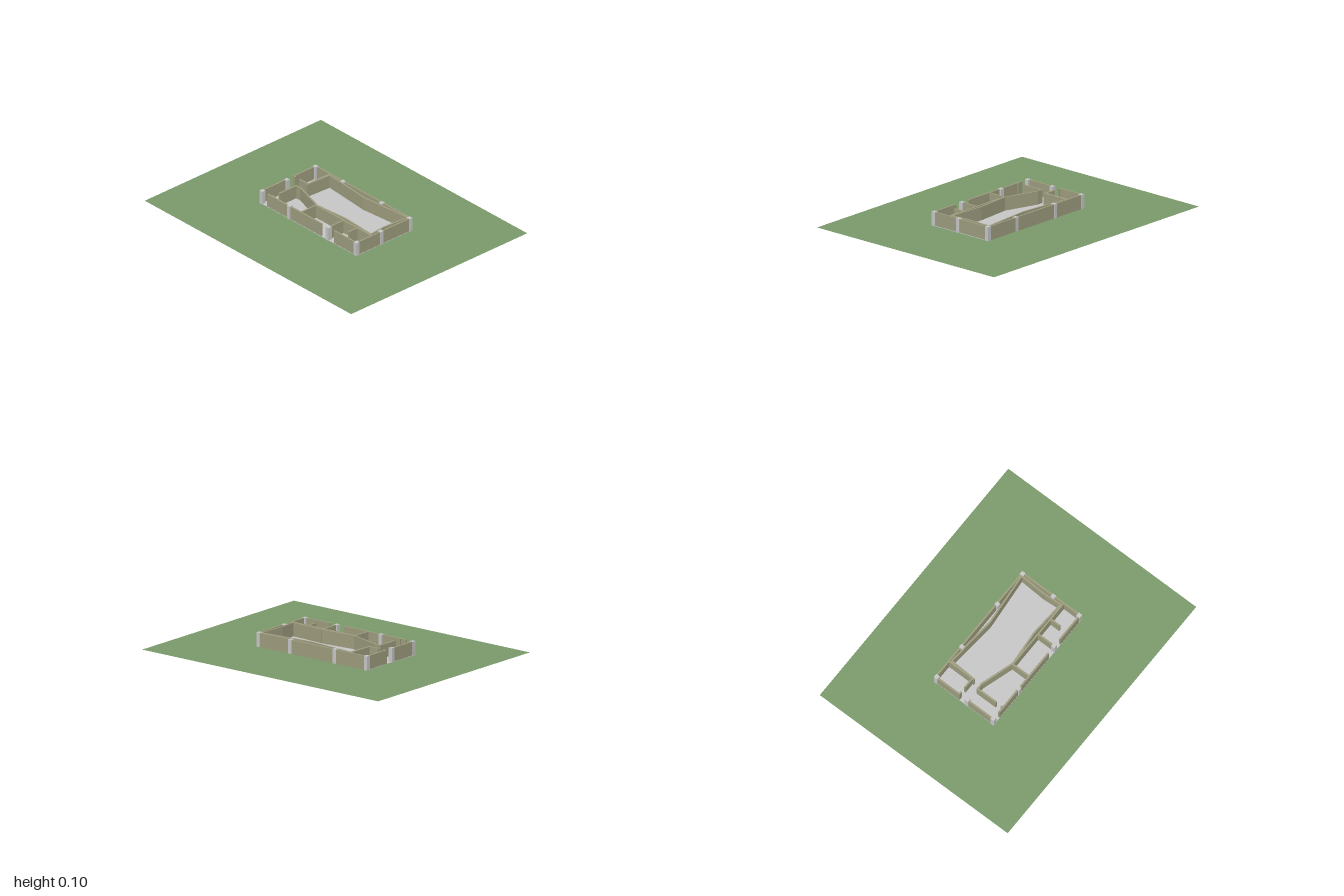
import * as THREE from 'three';

const HEIGHT = 0.097;   // wall and column top
const BASE = 0.001;     // just above the lawn
const THICK = 0.012;    // wall thickness

export function createModel() {
  const model = new THREE.Group();
  model.name = 'floorPlanModel';
  const material = (name, color) => {
    const m = new THREE.MeshStandardMaterial({ color });
    m.name = name;
    return m;
  };
  const grass = material('grass green', 0x7a9b6a);
  const concrete = material('concrete grey', 0xc8c8c8);
  const plaster = material('wall khaki', 0x9f9e80);
  grass.side = THREE.DoubleSide;

  const add = (parent, name, geometry, mat) => {
    const mesh = new THREE.Mesh(geometry, mat);
    mesh.name = name;
    parent.add(mesh);
    return mesh;
  };
  const group = (name) => {
    const g = new THREE.Group();
    g.name = name;
    model.add(g);
    return g;
  };

  // Lawn and floor slab
  add(model, 'lawn', new THREE.PlaneGeometry(2, 1.56).rotateX(-Math.PI / 2), grass);
  add(model, 'floorSlab', new THREE.BoxGeometry(0.932, 0.004, 0.49), concrete).position.y = BASE + 0.002;

  // Upright wall along a run of [x, z] points
  const wallRun = (parent, name, points) => {
    for (let i = 0; i + 1 < points.length; i++) {
      const [x1, z1] = points[i], [x2, z2] = points[i + 1];
      const length = Math.hypot(x2 - x1, z2 - z1);
      const wall = add(parent, name, new THREE.BoxGeometry(length, HEIGHT - BASE, THICK), plaster);
      wall.position.set((x1 + x2) / 2, (HEIGHT + BASE) / 2, (z1 + z2) / 2);
      wall.rotation.y = -Math.atan2(z2 - z1, x2 - x1);
    }
  };

  // Outer walls with door openings
  const outer = group('outerWalls');
  wallRun(outer, 'backWall', [[-0.46, -0.24], [0.46, -0.24]]);
  wallRun(outer, 'leftWall', [[0.459, -0.24], [0.459, 0.238]]);
  wallRun(outer, 'rightWallBack', [[-0.459, -0.24], [-0.459, -0.04]]);
  wallRun(outer, 'rightWallFront', [[-0.459, 0.02], [-0.459, 0.235]]);
  wallRun(outer, 'frontWall', [[-0.4, 0.238], [0.125, 0.238]]);
  wallRun(outer, 'frontWallEnd', [[0.246, 0.238], [0.46, 0.238]]);

  // Straight partitions
  const partitions = group('partitions');
  wallRun(partitions, 'lobbySideWall', [[-0.32, -0.24], [-0.32, -0.04]]);
  wallRun(partitions, 'lobbyCrossWall', [[-0.4, -0.045], [-0.316, -0.045]]);
  wallRun(partitions, 'lobbyCrossStub', [[-0.46, -0.045], [-0.44, -0.045]]);
  wallRun(partitions, 'corridorWall', [[-0.355, 0.021], [-0.355, 0.18]]);
  wallRun(partitions, 'corridorStub', [[-0.355, 0.222], [-0.355, 0.238]]);
  wallRun(partitions, 'roomBackWall', [[-0.08, 0.103], [0.46, 0.103]]);
  for (const [x, end] of [[-0.08, 0.235], [0.187, 0.235], [0.32, 0.18]]) {
    wallRun(partitions, 'roomDivider', [[x, 0.103], [x, end]]);
  }

  // Angled lining of the hall
  const lining = group('hallLining');
  wallRun(lining, 'rightLining', [[-0.308, -0.227], [-0.319, -0.03]]);
  wallRun(lining, 'backLining', [[-0.31, -0.227], [0.06, -0.195], [0.44, -0.23]]);
  wallRun(lining, 'leftLining', [[0.44, -0.23], [0.43, -0.035], [0.441, 0.1]]);
  wallRun(lining, 'frontLining', [[-0.075, 0.1], [0.18, 0.078], [0.44, 0.094]]);
  wallRun(lining, 'entryLining', [[-0.36, 0.027], [-0.31, 0.027], [-0.075, 0.1]]);

  // Columns around the perimeter
  const columns = group('columns');
  const spots = [[-0.455, 0.02], [0.455, 0.02]];
  for (const x of [-0.455, -0.19, 0.187, 0.455]) spots.push([x, -0.235], [x, 0.235]);
  for (const [x, z] of spots) {
    const column = add(columns, 'column', new THREE.BoxGeometry(0.028, HEIGHT + 0.001 - BASE, 0.028), concrete);
    column.position.set(x, (HEIGHT + 0.001 + BASE) / 2, z);
  }
  return model;
}
